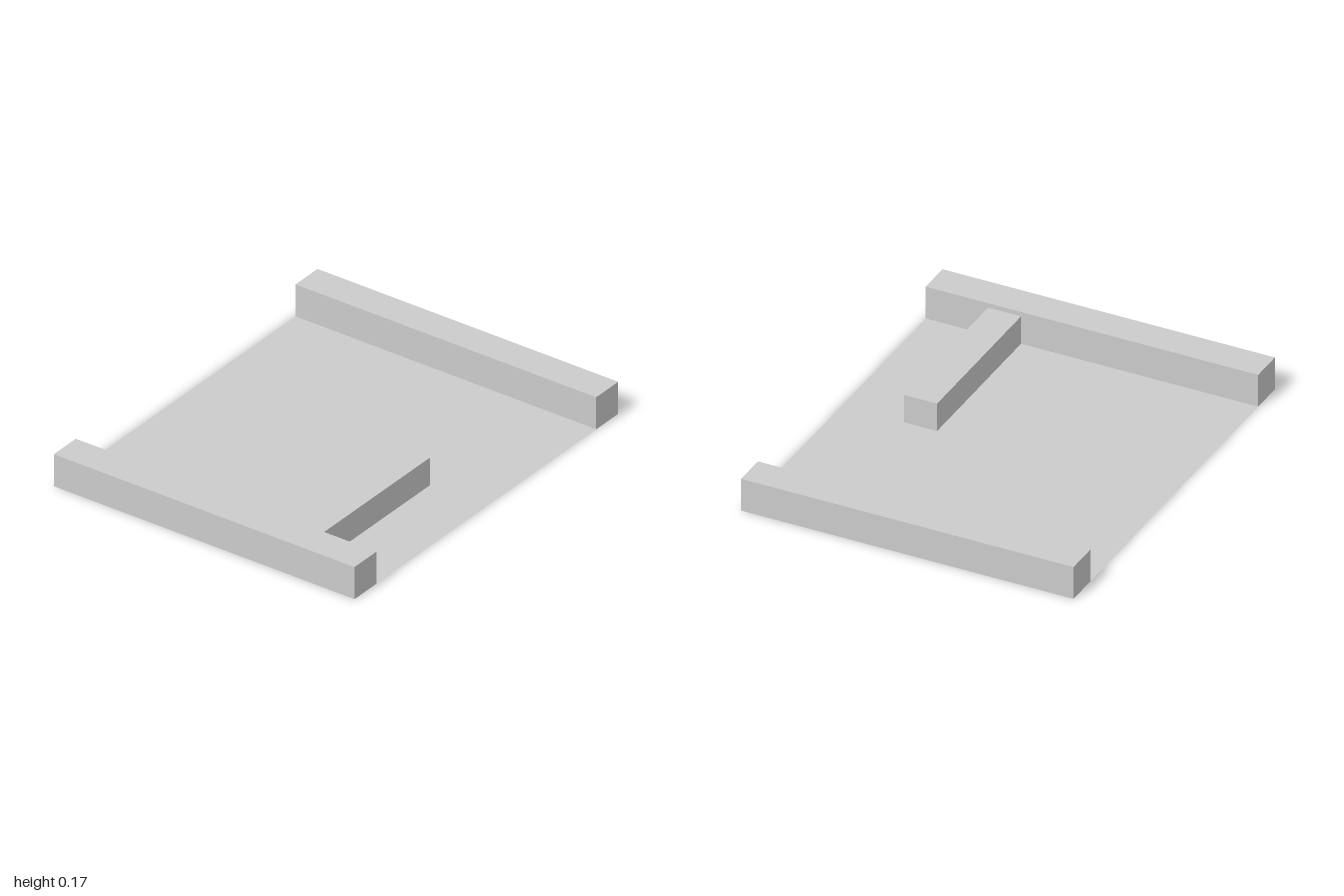
import * as THREE from 'three';

const material = new THREE.MeshStandardMaterial({ color: 0xcccccc, side: THREE.DoubleSide, flatShading: true });

// Box standing on the floor, without the listed sides (0 +x, 1 -x, 2 +y, 3 -y, 4 +z, 5 -z)
function openBox(name, w, h, d, x, z, omitted) {
  const geometry = new THREE.BoxGeometry(w, h, d);
  const index = Array.from(geometry.index.array);
  geometry.setIndex(index.filter((_, i) => !omitted.includes(Math.floor(i / 6))));
  geometry.clearGroups();
  const mesh = new THREE.Mesh(geometry, material);
  mesh.name = name;
  mesh.position.set(x, h / 2, z);
  return mesh;
}

export function createModel() {
  const group = new THREE.Group();
  group.name = 'walledFloor';

  const width = 1.667, thickness = 0.167, inner = 0.833;

  // Thin floor between the two walls
  const floor = new THREE.Mesh(new THREE.PlaneGeometry(width, inner * 2).rotateX(-Math.PI / 2), material);
  floor.name = 'floor';
  group.add(floor);

  // End walls, open underneath
  for (const [name, side] of [['frontWall', 1], ['backWall', -1]]) {
    group.add(openBox(name, width, thickness, thickness, 0, side * (inner + thickness / 2), [3]));
  }

  // Lower partition running from the front wall to the middle of the floor
  group.add(openBox('partition', 0.165, 0.144, inner, 0.438, inner / 2, [3, 4]));

  return group;
}
